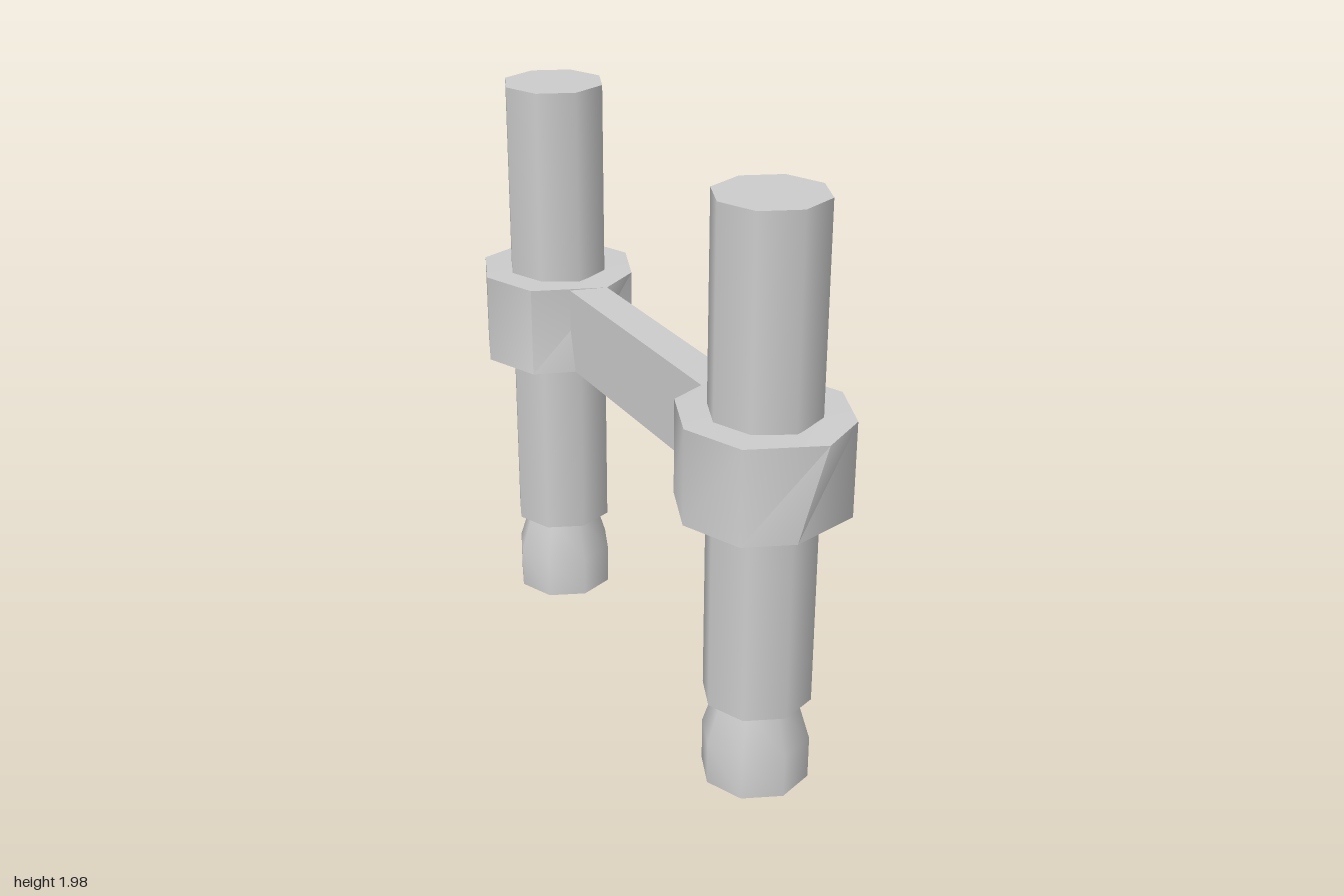
import * as THREE from 'three';
import { toCreasedNormals } from 'three/addons/utils/BufferGeometryUtils.js';

const SIDES = 8;
const POST_Z = 0.72;
const CREASE = 0.9; // keeps the octagonal sides smooth, caps sharp

// Eight-sided collar whose front and back corners lean sideways from bottom to top
function collarGeometry() {
  const ring = (top) => {
    const s = top ? 1 : -1;
    const y = top ? 1.3 : 0.98;
    const yMid = top ? 1.29 : 0.99;
    return [
      [0.05 * s, yMid, 0.28], [0.2, y, 0.2], [0.28, y, 0], [0.2, y, -0.2],
      [-0.065 * s, yMid, -0.27], [-0.2, y, -0.2], [-0.28, y, 0], [-0.2, y, 0.2],
    ];
  };
  const low = ring(false), high = ring(true), pos = [];
  const lowMid = [0, 0.98, 0], highMid = [0, 1.3, 0];
  for (let i = 0; i < SIDES; i++) {
    const j = (i + 1) % SIDES;
    pos.push(...low[i], ...low[j], ...high[j], ...low[i], ...high[j], ...high[i]);
    pos.push(...highMid, ...high[i], ...high[j], ...lowMid, ...low[j], ...low[i]);
  }
  const geometry = new THREE.BufferGeometry();
  geometry.setAttribute('position', new THREE.Float32BufferAttribute(pos, 3));
  return toCreasedNormals(geometry, CREASE);
}

export function createModel() {
  const model = new THREE.Group();
  model.name = 'twinPostFrame';
  const grey = new THREE.MeshStandardMaterial({ color: 0xcccccc });
  grey.name = 'light grey';

  const postGeometry = new THREE.CylinderGeometry(0.18, 0.18, 1.68, SIDES);
  const footProfile = [[0, 0], [0.18, 0], [0.18, 0.15], [0.13, 0.31]]
    .map(([r, y]) => new THREE.Vector2(r, y));
  const footGeometry = toCreasedNormals(new THREE.LatheGeometry(footProfile, SIDES), CREASE);
  const collar = collarGeometry();

  const add = (parent, name, geometry, y = 0) => {
    const mesh = new THREE.Mesh(geometry, grey);
    mesh.name = name;
    mesh.position.y = y;
    parent.add(mesh);
  };

  // Front and back uprights, the back one turned half a circle
  for (const side of [1, -1]) {
    const upright = new THREE.Group();
    upright.name = side > 0 ? 'frontUpright' : 'backUpright';
    add(upright, 'post', postGeometry, 1.14);
    add(upright, 'foot', footGeometry);
    add(upright, 'collar', collar);
    upright.position.z = side * POST_Z;
    upright.rotation.y = side > 0 ? 0 : Math.PI;
    model.add(upright);
  }

  // Flat bar joining the two collars
  add(model, 'crossBar', new THREE.BoxGeometry(0.13, 0.3, 1.1), 1.14);
  return model;
}
